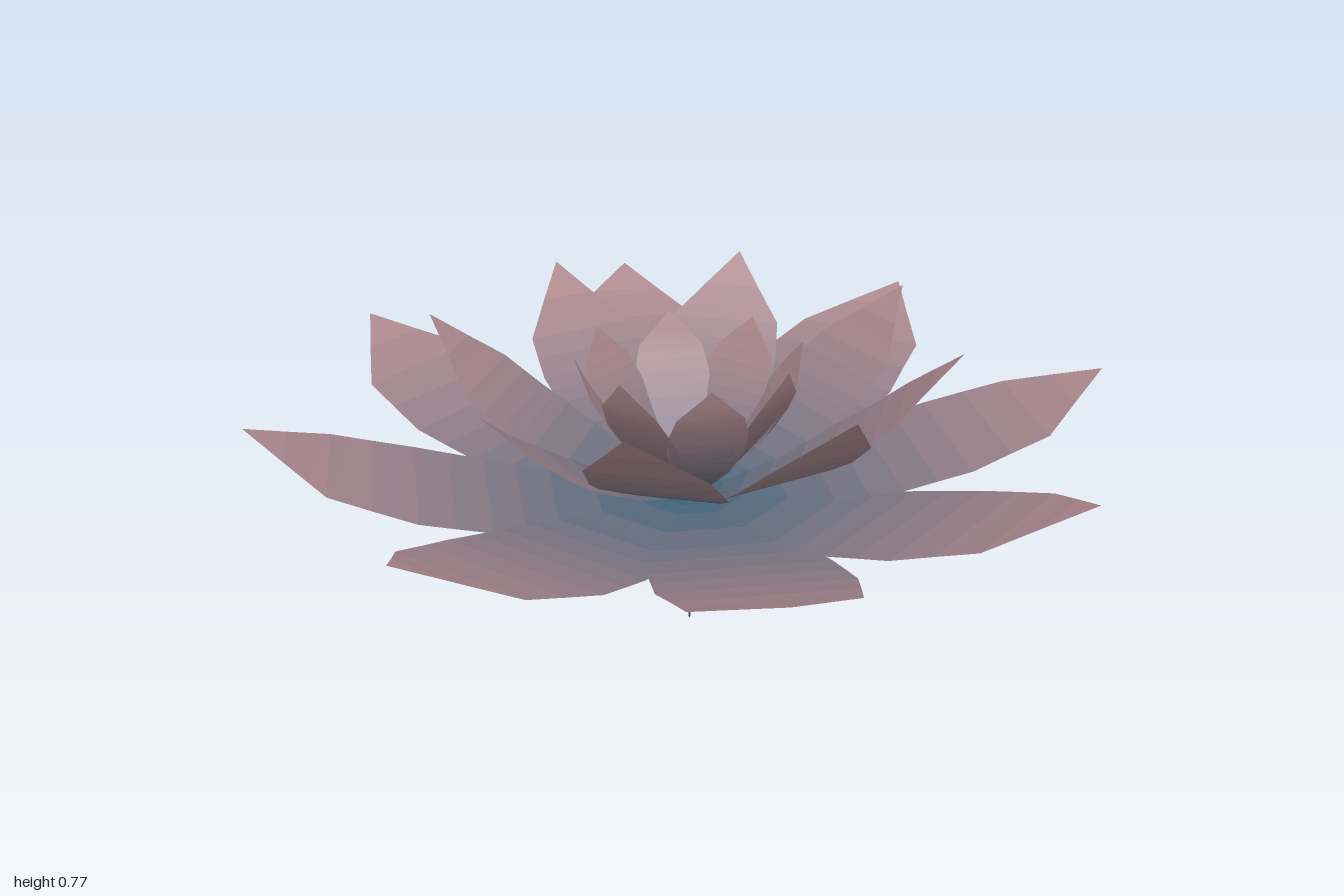
import * as THREE from 'three';

const BASE = new THREE.Color(0x2a6078), TIP = new THREE.Color(0xb08a8e);
const SUB = 2; // colour bands per profile row

// Cross-sections from root to tip: [radius, height, half width]
const RINGS = [
  { name: 'outerPetal', offset: 22.5, rows: [
    [0.02, 0.355, 0.015], [0.12, 0.355, 0.07], [0.34, 0.375, 0.17], [0.5, 0.402, 0.21],
    [0.67, 0.445, 0.22], [0.87, 0.51, 0.182], [1.058, 0.61, 0]] },
  { name: 'middlePetal', offset: 0, rows: [
    [0.02, 0.358, 0.012], [0.08, 0.38, 0.045], [0.2, 0.43, 0.105], [0.35, 0.51, 0.152],
    [0.42, 0.555, 0.156], [0.51, 0.63, 0.142], [0.652, 0.775, 0]] },
  { name: 'innerPetal', offset: 22.5, rows: [
    [0.02, 0.36, 0.012], [0.06, 0.395, 0.035], [0.12, 0.46, 0.07], [0.18, 0.54, 0.093],
    [0.215, 0.595, 0.095], [0.25, 0.655, 0.08], [0.28, 0.735, 0]] },
];

// Pointed petal, slightly twisted to one side, with one colour group per band
function petalGeometry(rows) {
  const length = rows.at(-1)[0];
  const bands = (rows.length - 1) * SUB;
  const positions = [], index = [];
  const geometry = new THREE.BufferGeometry();
  for (let i = 0; i <= bands; i++) {
    const k = Math.min(Math.floor(i / SUB), rows.length - 2);
    const f = i / SUB - k;
    const [u, y, w] = rows[k].map((a, j) => THREE.MathUtils.lerp(a, rows[k + 1][j], f));
    const twist = 0.058 * u ** 3 / length ** 2;
    for (const v of [-w, 0, w]) positions.push(u - 0.08 * v, y, v + twist);
    if (i === bands) break;
    geometry.addGroup(index.length, 12, i);
    for (let c = 0; c < 2; c++) {
      const a = i * 3 + c;
      index.push(a, a + 1, a + 3, a + 1, a + 4, a + 3);
    }
  }
  geometry.setAttribute('position', new THREE.Float32BufferAttribute(positions, 3));
  geometry.setIndex(index);
  geometry.computeVertexNormals();
  return geometry;
}

// Materials fading from root colour to tip colour
function petalMaterials(rows) {
  const length = rows.at(-1)[0];
  const materials = [];
  for (let k = 0; k < rows.length - 1; k++) {
    for (let s = 0; s < SUB; s++) {
      const u = THREE.MathUtils.lerp(rows[k][0], rows[k + 1][0], (s + 0.5) / SUB);
      materials.push(new THREE.MeshStandardMaterial({
        color: BASE.clone().lerp(TIP, u / length), side: THREE.DoubleSide }));
    }
  }
  return materials;
}

export function createModel() {
  const group = new THREE.Group();
  group.name = 'flower';

  // Three rings of eight petals
  for (const { name, offset, rows } of RINGS) {
    const ring = new THREE.Group();
    ring.name = name + 'Ring';
    const geometry = petalGeometry(rows);
    const materials = petalMaterials(rows);
    for (let i = 0; i < 8; i++) {
      const petal = new THREE.Mesh(geometry, materials);
      petal.name = name;
      petal.rotation.y = -THREE.MathUtils.degToRad(offset + i * 45);
      ring.add(petal);
    }
    group.add(ring);
  }

  // Tapering stem, open at the top
  const stem = new THREE.Mesh(
    new THREE.CylinderGeometry(0.025, 0.002, 0.36, 8, 1, true),
    new THREE.MeshStandardMaterial({ color: BASE, side: THREE.DoubleSide }));
  stem.name = 'stem';
  stem.position.y = 0.18;
  group.add(stem);

  return group;
}
